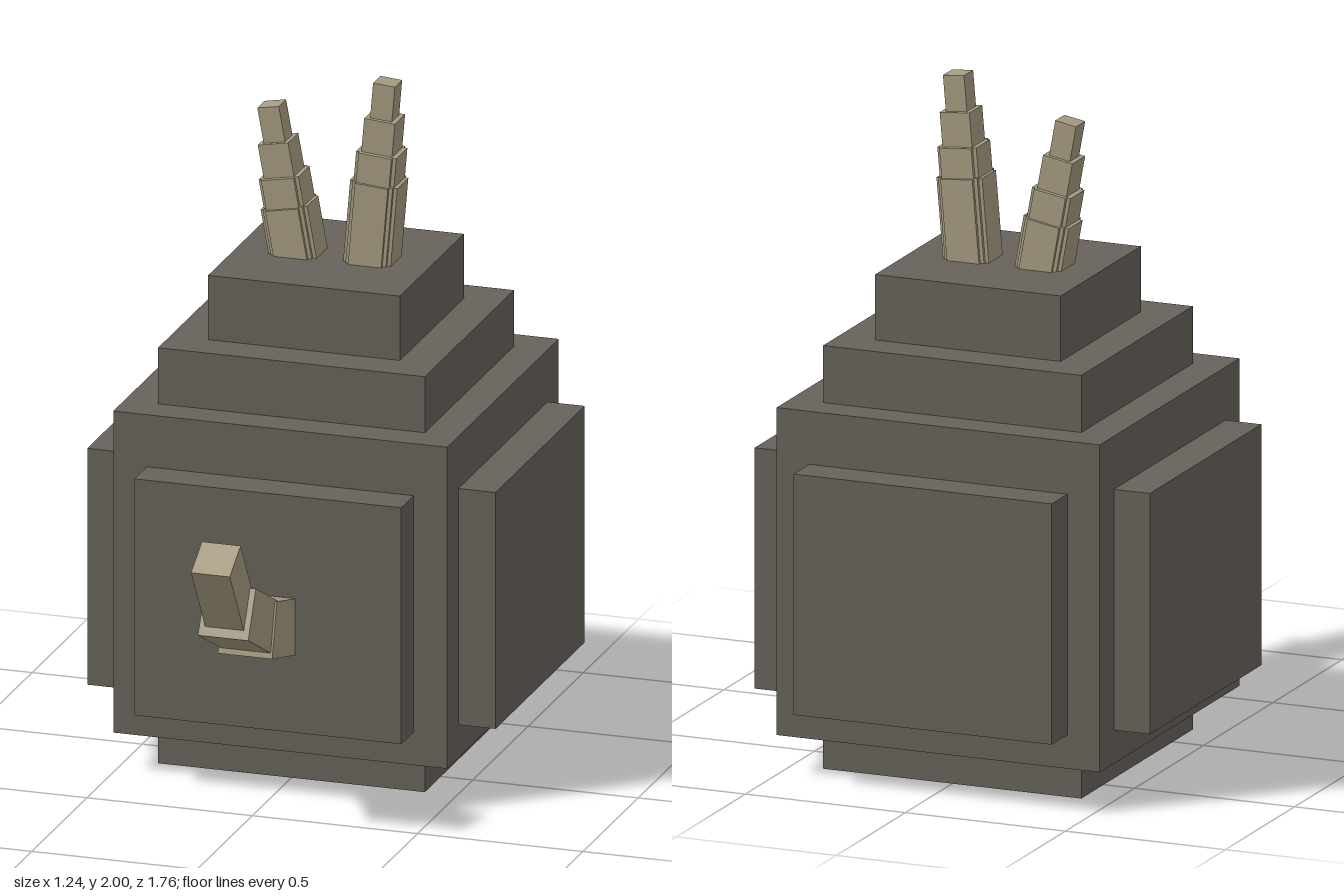
import * as THREE from 'three';

export function createModel() {
  const model = new THREE.Group();
  const stone = new THREE.MeshStandardMaterial({ color: 0x67625a });
  stone.name = 'dark stone';
  const bone = new THREE.MeshStandardMaterial({ color: 0xa69b81 });
  bone.name = 'bone tan';

  function box(parent, name, material, size, position) {
    const mesh = new THREE.Mesh(new THREE.BoxGeometry(...size), material);
    mesh.name = name;
    mesh.position.set(...position);
    parent.add(mesh);
    return mesh;
  }

  // Stepped body: [name, width, depth, bottom, top]
  const body = new THREE.Group();
  body.name = 'body';
  body.position.z = -0.258;
  model.add(body);
  for (const [name, w, d, y0, y1] of [
    ['base', 0.807, 0.807, 0, 0.13],
    ['core', 1.01, 1.01, 0.115, 1.09],
    ['sidePanels', 1.235, 0.807, 0.215, 0.932],
    ['frontBackPanels', 0.807, 1.235, 0.215, 0.932],
    ['lowerTier', 0.807, 0.807, 1.08, 1.26],
    ['topTier', 0.58, 0.58, 1.25, 1.455],
  ]) box(body, name, stone, [w, y1 - y0, d], [0, (y0 + y1) / 2, 0]);

  // Tapering stepped horns; the right one is sunk deeper and leans further
  function horn(name, x, lean, sink) {
    const group = new THREE.Group();
    group.name = name;
    group.position.set(x, 1.455, -0.258);
    group.rotation.z = lean;
    model.add(group);
    const segment = (part, w, d, y0, y1) =>
      box(group, part, bone, [w, y1 - y0, d], [0, (y0 + y1) / 2 - sink, 0]);
    // Overlapping boxes give the root its notched corners
    const root = sink - 0.05;
    segment('hornRootWide', 0.143, 0.1, root, 0.245);
    segment('hornRootCore', 0.122, 0.122, root, 0.247);
    segment('hornRootDeep', 0.1, 0.143, root, 0.245);
    segment('hornLowerWide', 0.122, 0.1, 0.2, 0.335);
    segment('hornLowerDeep', 0.1, 0.124, 0.2, 0.335);
    segment('hornMiddle', 0.093, 0.093, 0.3, 0.437);
    segment('hornTip', 0.066, 0.066, 0.4, 0.544);
  }
  horn('leftHorn', 0.11, -0.085, 0);
  horn('rightHorn', -0.115, 0.18, 0.1);

  // Upturned trunk: [name, width, thickness, pitch in degrees, end y, end z]
  const trunk = new THREE.Group();
  trunk.name = 'trunk';
  model.add(trunk);
  const length = 0.29;
  for (const [name, w, t, degrees, y, z] of [
    ['trunkRoot', 0.164, 0.166, 15, 0.585, 0.544],
    ['trunkMiddle', 0.152, 0.152, 27, 0.6925, 0.73],
    ['trunkTip', 0.117, 0.117, 58, 0.885, 0.83],
  ]) {
    const a = THREE.MathUtils.degToRad(degrees);
    const mesh = box(trunk, name, bone, [w, t, length],
      [0, y - Math.sin(a) * length / 2, z - Math.cos(a) * length / 2]);
    mesh.rotation.x = -a;
  }

  return model;
}
